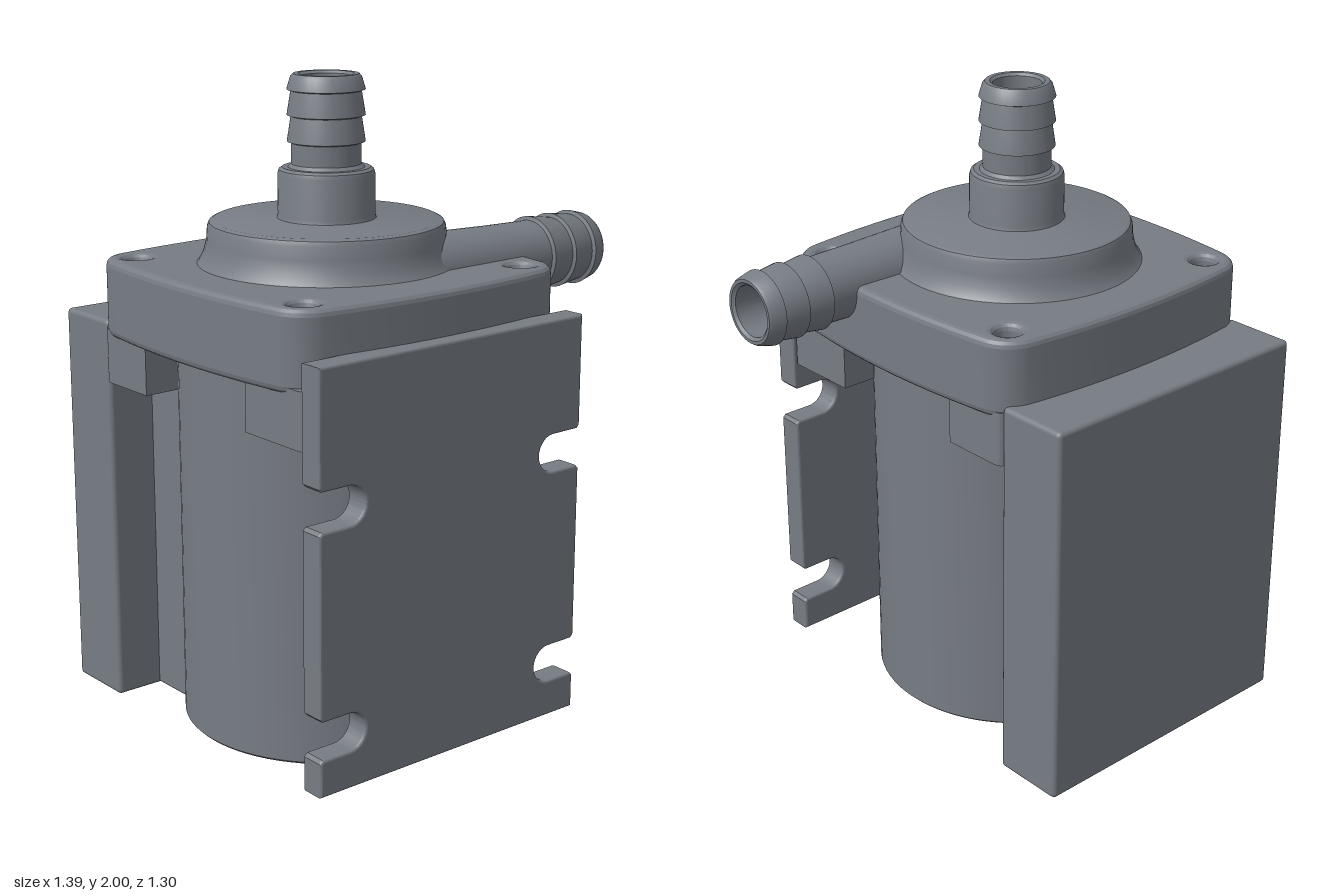
import * as THREE from 'three';
import { toCreasedNormals } from 'three/addons/utils/BufferGeometryUtils.js';
import { RoundedBoxGeometry } from 'three/addons/geometries/RoundedBoxGeometry.js';

const V = (x, y) => new THREE.Vector2(x, y);
const CORNERS = [[1, 1], [-1, 1], [-1, -1], [1, -1]];
const SCREW = 0.41; // screw offset from the axis

export function createModel() {
  const model = new THREE.Group();
  model.name = 'pump';
  const mat = new THREE.MeshStandardMaterial({ color: 0x777c84 });

  // Everything is built around the pump axis
  const pump = new THREE.Group();
  pump.name = 'pumpAssembly';
  pump.position.set(-0.16, 0, 0.06);
  model.add(pump);

  const add = (name, geo) => {
    const mesh = new THREE.Mesh(geo, mat);
    mesh.name = name;
    pump.add(mesh);
    return mesh;
  };
  const lathe = (pts, seg = 64) => toCreasedNormals(
    new THREE.LatheGeometry(pts.map(([r, y]) => V(r, y)), seg), 0.5);
  // The small crease angle keeps flat faces flat next to their rounded edges
  const extrude = (shape, depth, b) => toCreasedNormals(new THREE.ExtrudeGeometry(shape, {
    depth: depth - 2 * b, bevelEnabled: b > 0, bevelThickness: b, bevelSize: b,
    bevelOffset: -b, bevelSegments: 3, curveSegments: 16,
  }).translate(0, 0, b), 0.25);
  // Horizontal slab between two heights; shape y points to the back
  const slab = (shape, y0, y1, b = 0) => extrude(shape, y1 - y0, b).rotateX(-Math.PI / 2).translate(0, y0, 0);
  const box = (name, x0, x1, y0, y1, z0, z1, r = 0.012) => {
    const geo = new RoundedBoxGeometry(x1 - x0, y1 - y0, z1 - z0, 3, r);
    return add(name, geo.translate((x0 + x1) / 2, (y0 + y1) / 2, (z0 + z1) / 2));
  };
  const hole = (x, y, r, sides = 36) => {
    const pts = [];
    for (let i = 0; i < sides; i++) {
      const a = (i / sides) * Math.PI * 2;
      pts.push(V(x + r * Math.cos(a), y + r * Math.sin(a)));
    }
    return new THREE.Path(pts);
  };

  // Motor can with a recessed hole underneath
  add('motorBody', lathe([[0, 0.13], [0.1, 0.13], [0.1, 0.05], [0.13, 0.03], [0.145, 0],
    [0.447, 0], [0.455, 0.008], [0.455, 1.25]], 80));
  add('shaftBoss', lathe([[0, 0.07], [0.03, 0.08], [0.045, 0.13]], 24));

  // Electronics box at the back and its neck
  box('controlBox', -0.485, 0.487, 0, 1.24, -0.708, -0.47, 0.015);
  box('controlBoxNeck', -0.33, 0.33, 0.002, 1.23, -0.5, -0.1);

  // Front mounting plate with four open slots
  const hx = 0.5, r = 0.0575, cx = 0.335 + r, slots = [0.222, 0.897];
  const plate = new THREE.Shape();
  plate.moveTo(-hx, 0.05);
  plate.lineTo(hx, 0.05);
  const slot = (yc, s) => {
    plate.lineTo(s * hx, yc - s * (r + 0.01));
    plate.lineTo(s * (hx - 0.01), yc - s * r);
    plate.absarc(s * cx, yc, r, -s * Math.PI / 2, s * Math.PI / 2, true);
    plate.lineTo(s * (hx - 0.01), yc + s * r);
    plate.lineTo(s * hx, yc + s * (r + 0.01));
  };
  slots.forEach((y) => slot(y, 1));
  plate.lineTo(hx, 1.305);
  plate.lineTo(-hx, 1.305);
  [...slots].reverse().forEach((y) => slot(y, -1));
  plate.closePath();
  add('mountingPlate', extrude(plate, 0.08, 0.008).translate(0, 0, 0.51));
  box('mountingPlateNeck', -0.165, 0.165, 0.055, 1.25, 0.1, 0.52);

  // Pump head: square with bowed sides, round corners and countersunk screw holes
  const outline = new THREE.Shape();
  outline.moveTo(0.507, -0.42);
  CORNERS.forEach((c, i) => {
    const turn = (x, y) => [[x, y], [-y, x], [-x, -y], [y, -x]][i];
    outline.quadraticCurveTo(...turn(0.569, 0), ...turn(0.507, 0.42));
    outline.quadraticCurveTo(...turn(0.487, 0.487), ...turn(0.42, 0.507));
  });
  const headPoints = outline.getPoints(12);
  headPoints.pop();
  const head = new THREE.Shape(headPoints);
  CORNERS.forEach(([sx, sy]) => head.holes.push(hole(sx * SCREW, sy * SCREW, 0.04)));
  add('pumpHead', slab(head, 1.2, 1.44, 0.022));

  // Screw bosses with hexagonal nut pockets: front ones reach the plate, rear ones the box
  CORNERS.forEach(([sx, sy]) => {
    const end = sy > 0 ? 0.475 : 0.515, round = 0.03;
    const boss = (radius, sides) => {
      const shape = new THREE.Shape();
      shape.moveTo(sx * 0.25, sy * 0.25);
      shape.lineTo(sx * 0.495, sy * 0.25);
      shape.lineTo(sx * 0.495, sy * (end - round));
      shape.quadraticCurveTo(sx * 0.495, sy * end, sx * (0.495 - round), sy * end);
      shape.lineTo(sx * 0.25, sy * end);
      shape.holes.push(hole(sx * SCREW, sy * SCREW, radius, sides));
      return shape;
    };
    add('screwBoss', slab(boss(0.042, 36), 1.12, 1.22));
    add('nutPocket', slab(boss(0.065, 6), 1.05, 1.12));
  });

  // Saw-tooth hose barbs: each tooth is wide at its start
  const barbs = (starts, end) => starts.flatMap((s, i) => {
    const e = i + 1 < starts.length ? starts[i + 1] : end;
    return [[0.105, s], [0.117, s + 0.004], [0.106, e - 0.004]];
  });

  // Volute cover and inlet in one profile, down to the bottom of the bore
  add('voluteAndInlet', lathe([[0.4, 1.43], [0.385, 1.445], [0.37, 1.475], [0.361, 1.51], [0.358, 1.55],
    [0.352, 1.564], [0.34, 1.57], [0.16, 1.57], [0.149, 1.574], [0.146, 1.585], [0.146, 1.705],
    [0.142, 1.718], [0.132, 1.725], [0.115, 1.725], [0.105, 1.735],
    ...barbs([1.797, 1.875, 1.95], 1.995), [0.098, 2], [0.083, 2], [0.075, 1.992], [0.075, 1.5], [0, 1.5]]));
  // Spokes and hub inside the inlet
  for (let i = 0; i < 2; i++) {
    add('inletSpokes', new THREE.BoxGeometry(0.152, 0.06, 0.036).rotateY(i * Math.PI / 2).translate(0, 1.62, 0));
  }
  add('inletHub', lathe([[0.042, 1.5], [0.042, 1.65], [0.036, 1.672], [0.02, 1.69], [0, 1.698]], 24));

  // Outlet: turned about its own axis, then laid along +x
  const outlet = add('outlet', lathe([[0, 0], [0.118, 0], [0.116, 0.2], [0.108, 0.45], [0.105, 0.6],
    ...barbs([0.622, 0.712, 0.798], 0.849), [0.1, 0.854], [0.09, 0.854], [0.08, 0.846], [0.075, 0.45], [0, 0.45]], 48));
  outlet.rotation.z = -Math.PI / 2;
  outlet.position.set(0, 1.417, 0.23);

  return model;
}
